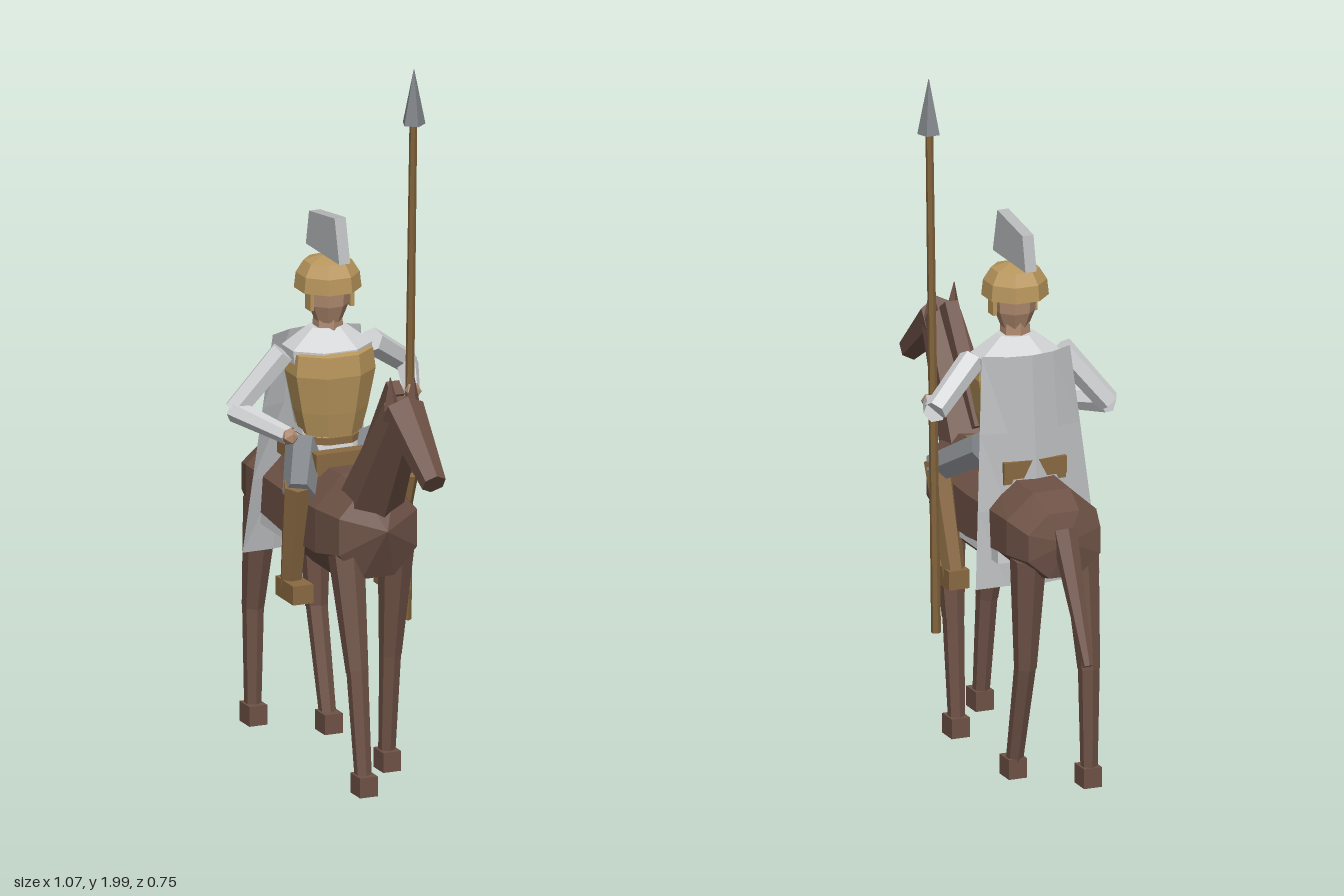
import * as THREE from 'three';

const mat = (name, color, extra = {}) => {
  const m = new THREE.MeshStandardMaterial({ color, flatShading: true, ...extra });
  m.name = name;
  return m;
};
const V = (x, y, z) => new THREE.Vector3(x, y, z);

export function createModel() {
  const hide = mat('horse brown', 0x6e5246);
  const cloth = mat('pale cloth', 0xd2d4d6);
  const cape = mat('cape grey', 0xb8babc, { side: THREE.DoubleSide });
  const gold = mat('bronze armour', 0xb8965c);
  const leather = mat('tan leather', 0x8a6a42);
  const skin = mat('skin', 0xb08a70);
  const steel = mat('steel grey', 0x808488);
  const wood = mat('spear wood', 0x80623a);

  const root = new THREE.Group();
  root.name = 'mountedSoldier';
  const horse = new THREE.Group();
  horse.name = 'horse';
  const rider = new THREE.Group();
  rider.name = 'rider';
  root.add(horse, rider);
  root.rotation.y = 0.98; // the horse walks diagonally

  const add = (parent, name, geo, material, x = 0, y = 0, z = 0) => {
    const m = new THREE.Mesh(geo, material);
    m.name = name;
    m.position.set(x, y, z);
    parent.add(m);
    return m;
  };
  const box = (parent, name, material, w, h, d, x, y, z) =>
    add(parent, name, new THREE.BoxGeometry(w, h, d), material, x, y, z);
  // Tapered limb from point a to point b
  const limb = (parent, name, material, a, b, ra, rb, sides = 6) => {
    const dir = b.clone().sub(a);
    const m = add(parent, name, new THREE.CylinderGeometry(rb, ra, dir.length(), sides), material);
    m.position.copy(a).add(b).multiplyScalar(0.5);
    m.quaternion.setFromUnitVectors(V(0, 1, 0), dir.normalize());
    return m;
  };
  // Turned form, profile listed from bottom to top as [radius, y]
  const turned = (parent, name, material, profile, sides, z, sx = 1) => {
    const geo = new THREE.LatheGeometry(profile.map(p => new THREE.Vector2(...p)), sides, Math.PI / sides);
    return add(parent, name, geo.scale(sx, 1, 1), material, 0, 0, z);
  };
  // Eight-sided body along z, rings given as [z, centre y, half width, half height]
  const loft = rings => {
    const n = 8, pos = [];
    const pt = (r, k) => {
      const a = ((k + 0.5) / n) * Math.PI * 2, c = Math.cos(Math.PI / n);
      return [r[2] * Math.cos(a) / c, r[1] + r[3] * Math.sin(a) / c, r[0]];
    };
    for (let i = 0; i < rings.length - 1; i++) {
      for (let k = 0; k < n; k++) {
        const a = pt(rings[i], k), b = pt(rings[i], k + 1);
        const c = pt(rings[i + 1], k + 1), d = pt(rings[i + 1], k);
        pos.push(...a, ...b, ...c, ...a, ...c, ...d);
      }
    }
    const g = new THREE.BufferGeometry();
    g.setAttribute('position', new THREE.Float32BufferAttribute(pos, 3));
    g.computeVertexNormals();
    return g;
  };

  // Horse trunk, neck and head
  add(horse, 'horseBody', loft([
    [-0.49, 0.74, 0.001, 0.001], [-0.47, 0.73, 0.11, 0.095], [-0.38, 0.74, 0.137, 0.122],
    [-0.1, 0.725, 0.14, 0.148], [0.1, 0.73, 0.14, 0.155], [0.22, 0.74, 0.12, 0.13],
    [0.285, 0.76, 0.001, 0.001],
  ]), hide);
  limb(horse, 'horseNeck', hide, V(0, 0.83, 0.18), V(0, 1.15, 0.395), 0.09, 0.058);
  limb(horse, 'horseHead', hide, V(0, 1.145, 0.39), V(0, 0.988, 0.603), 0.062, 0.036);
  const mane = box(horse, 'mane', hide, 0.04, 0.37, 0.05, 0, 1.045, 0.235);
  mane.rotation.x = 0.6;
  limb(horse, 'tail', hide, V(0, 0.77, -0.465), V(0, 0.42, -0.635), 0.038, 0.015);
  for (const s of [-1, 1]) {
    limb(horse, 'horseEar', hide, V(s * 0.032, 1.15, 0.385), V(s * 0.036, 1.245, 0.383), 0.024, 0.001, 4);
  }

  // Horse legs: side, z at top, knee and hoof
  for (const [s, top, knee, hoof] of [
    [-1, 0.18, 0.255, 0.298], [1, 0.165, 0.125, 0.1],
    [-1, -0.4, -0.458, -0.46], [1, -0.4, -0.38, -0.3],
  ]) {
    const x = s * 0.08;
    limb(horse, 'horseUpperLeg', hide, V(x, 0.68, top), V(x, 0.35, knee), 0.052, 0.032);
    limb(horse, 'horseLowerLeg', hide, V(x, 0.36, knee), V(x, 0.04, hoof), 0.031, 0.024);
    box(horse, 'hoof', hide, 0.055, 0.058, 0.067, x, 0.036, hoof + 0.005);
  }

  // Saddle and blanket
  box(horse, 'blanket', cloth, 0.274, 0.135, 0.27, 0, 0.7125, -0.185);
  box(horse, 'saddleSeat', leather, 0.19, 0.04, 0.27, 0, 0.875, -0.13);
  box(horse, 'saddleBack', leather, 0.19, 0.05, 0.04, 0, 0.895, -0.25);
  box(horse, 'saddleFront', leather, 0.19, 0.05, 0.04, 0, 0.895, -0.01);

  // Torso, breastplate and skirt
  turned(rider, 'torso', cloth,
    [[0, 0.9], [0.08, 0.9], [0.075, 0.97], [0.1, 1.13], [0.105, 1.2], [0.045, 1.255], [0, 1.255]], 8, -0.13, 1.25);
  turned(rider, 'breastplate', gold,
    [[0, 0.95], [0.073, 0.95], [0.088, 1.02], [0.106, 1.13], [0.1, 1.19], [0.07, 1.2]], 8, -0.108, 1.24);
  turned(rider, 'belt', leather, [[0, 0.928], [0.084, 0.928], [0.084, 0.948], [0, 0.952]], 8, -0.115, 1.15);
  turned(rider, 'skirt', cloth, [[0, 0.885], [0.094, 0.885], [0.08, 0.955], [0, 0.955]], 8, -0.12, 1.18);

  // Head, helmet and crest
  limb(rider, 'riderNeck', skin, V(0, 1.23, -0.125), V(0, 1.3, -0.125), 0.045, 0.04);
  turned(rider, 'riderHead', skin,
    [[0, 1.265], [0.038, 1.27], [0.058, 1.32], [0.062, 1.37], [0.04, 1.41], [0, 1.42]], 8, -0.122);
  turned(rider, 'helmet', gold,
    [[0, 1.365], [0.095, 1.365], [0.09, 1.41], [0.068, 1.445], [0, 1.468]], 8, -0.125);
  for (const s of [-1, 1]) {
    box(rider, 'cheekGuard', gold, 0.012, 0.06, 0.035, s * 0.062, 1.34, -0.11);
  }
  const crest = new THREE.Shape([[-0.008, 1.463], [-0.04, 1.59], [-0.215, 1.565], [-0.237, 1.463]]
    .map(([z, y]) => new THREE.Vector2(-z, y)));
  const crestGeo = new THREE.ExtrudeGeometry(crest, { depth: 0.034, bevelEnabled: false });
  add(rider, 'crest', crestGeo.translate(0, 0, -0.017).rotateY(Math.PI / 2), cape);

  // Arms: shoulder, elbow, hand
  for (const [a, b, c] of [
    [V(-0.135, 1.19, -0.13), V(-0.268, 1.025, -0.165), V(-0.185, 0.99, 0.015)],
    [V(0.135, 1.19, -0.13), V(0.285, 1.085, -0.218), V(0.225, 1.055, -0.055)],
  ]) {
    limb(rider, 'upperArm', cloth, a, b, 0.038, 0.034);
    limb(rider, 'forearm', cloth, b, c, 0.033, 0.025);
    add(rider, 'hand', new THREE.IcosahedronGeometry(0.025), skin, c.x, c.y, c.z + 0.012);
  }

  // Legs and boots
  for (const s of [-1, 1]) {
    limb(rider, 'thigh', steel, V(s * 0.085, 0.915, -0.1), V(s * 0.165, 0.825, 0.045), 0.052, 0.046);
    limb(rider, 'shin', leather, V(s * 0.165, 0.85, 0.035), V(s * 0.15, 0.53, -0.045), 0.042, 0.032);
    box(rider, 'boot', leather, 0.062, 0.055, 0.12, s * 0.15, 0.527, -0.018);
  }

  // Cape flaring out behind the shoulders
  const capeGeo = new THREE.PlaneGeometry(2, 1, 4, 3);
  const p = capeGeo.attributes.position;
  for (let i = 0; i < p.count; i++) {
    const u = p.getX(i), v = 0.5 - p.getY(i);
    const fold = Math.abs(u) === 0.5 ? 0.012 * v : 0;
    p.setXYZ(i, u * (0.135 + 0.055 * v), 1.22 - 0.655 * v,
      -0.2 - 0.085 * v - 0.045 * (1 - u * u) * (1 - 0.6 * v) + fold);
  }
  capeGeo.computeVertexNormals();
  add(rider, 'cape', capeGeo, cape);

  // Spear
  limb(rider, 'spearShaft', wood, V(0.218, 0.38, -0.071), V(0.222, 1.86, -0.033), 0.014, 0.011);
  limb(rider, 'spearHead', steel, V(0.222, 1.84, -0.033), V(0.222, 2.0, -0.029), 0.034, 0.001, 5);

  return root;
}
